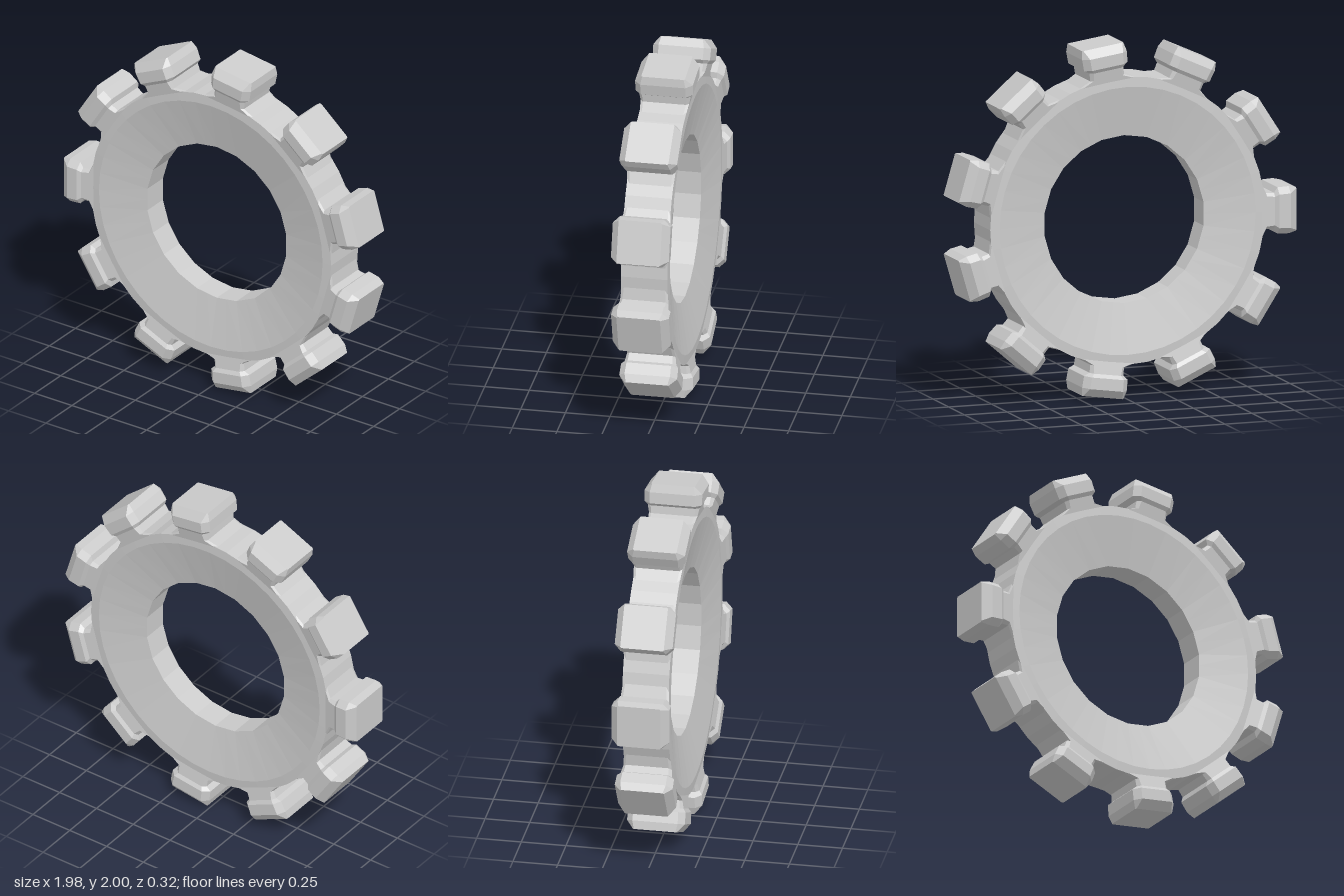
import * as THREE from 'three';

const TEETH = 11;
const material = new THREE.MeshStandardMaterial({ color: 0xcccccc, flatShading: true });

// Dished ring: thin at the 22-sided hole, thick at the rim
function ringGeometry() {
  const profile = [
    [0.47, -0.075], [0.75, -0.133], [0.805, -0.13],
    [0.805, 0.13], [0.75, 0.133], [0.47, 0.075], [0.47, -0.075],
  ].map(([r, z]) => new THREE.Vector2(r, z));
  const sides = TEETH * 4;
  const geo = new THREE.LatheGeometry(profile, sides);
  const pos = geo.attributes.position;
  // Flatten every second hole vertex so the hole has half as many sides
  const k = Math.cos(Math.PI / (sides / 2));
  for (let i = 1; i < sides; i += 2) {
    for (const j of [0, 5, 6]) {
      const v = i * profile.length + j;
      pos.setX(v, pos.getX(v) * k);
      pos.setZ(v, pos.getZ(v) * k);
    }
  }
  geo.rotateX(Math.PI / 2);
  return geo;
}

// Tooth lofted outward along +x from chamfered rectangles:
// [radius, half width, half depth, chamfer]
function toothGeometry() {
  const sections = [
    [0.72, 0.17, 0.122, 0.01],
    [0.785, 0.165, 0.13, 0.015],
    [0.815, 0.1, 0.136, 0.015],
    [0.86, 0.1, 0.145, 0.02],
    [0.88, 0.129, 0.16, 0.035],
    [0.945, 0.132, 0.162, 0.035],
    [0.992, 0.122, 0.122, 0.006],
  ];
  const n = 8;
  const positions = [];
  const index = [];
  for (const [r, w, d, c] of sections) {
    const loop = [
      [w, -d + c], [w, d - c], [w - c, d], [c - w, d],
      [-w, d - c], [-w, c - d], [c - w, -d], [w - c, -d],
    ];
    for (const [y, z] of loop) positions.push(r, y, z);
  }
  for (let s = 0; s < sections.length - 1; s++) {
    for (let j = 0; j < n; j++) {
      const a = s * n + j;
      const b = s * n + ((j + 1) % n);
      index.push(a, b, b + n, a, b + n, a + n);
    }
  }
  // Outer end cap
  const top = (sections.length - 1) * n;
  for (let j = 1; j < n - 1; j++) index.push(top, top + j, top + j + 1);

  const geo = new THREE.BufferGeometry();
  geo.setAttribute('position', new THREE.Float32BufferAttribute(positions, 3));
  geo.setIndex(index);
  geo.computeVertexNormals();
  return geo;
}

export function createModel() {
  const model = new THREE.Group();
  model.name = 'gear';

  const ring = new THREE.Mesh(ringGeometry(), material);
  ring.name = 'ring';
  ring.position.y = 1;
  model.add(ring);

  // Evenly spaced teeth, the first pointing to -x
  const toothGeo = toothGeometry();
  for (let i = 0; i < TEETH; i++) {
    const tooth = new THREE.Mesh(toothGeo, material);
    tooth.name = `tooth${i + 1}`;
    tooth.position.y = 1;
    tooth.rotation.z = Math.PI + (i * 2 * Math.PI) / TEETH;
    model.add(tooth);
  }
  return model;
}
